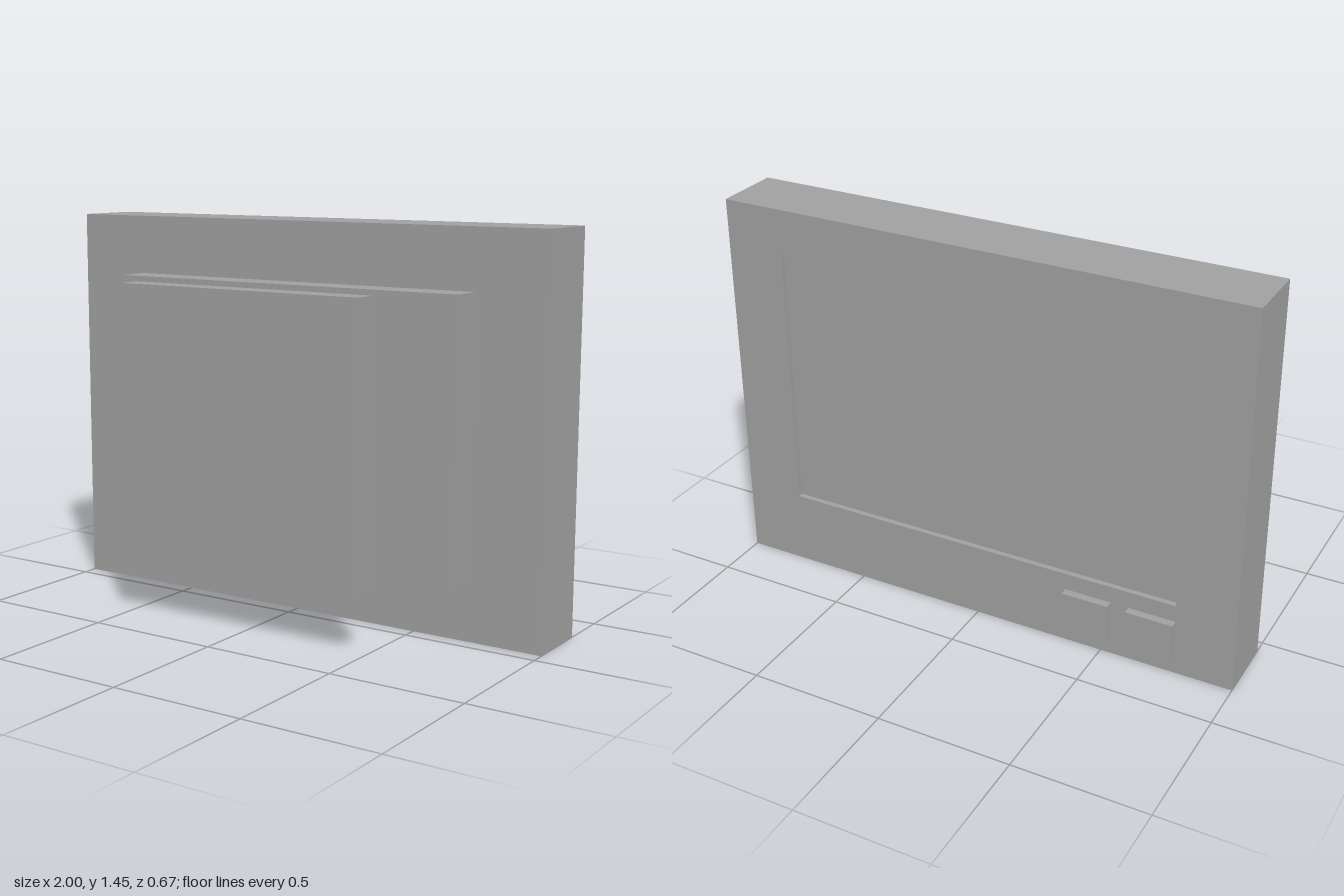
import * as THREE from 'three';

export function createModel() {
  const model = new THREE.Group();
  model.name = 'wallMonitor';
  const grey = new THREE.MeshStandardMaterial({ color: 0xa0a0a0 });
  grey.name = 'grey';

  // Box given by its lower and upper limits on each axis
  const addBox = (name, [x0, x1], [y0, y1], [z0, z1]) => {
    const mesh = new THREE.Mesh(new THREE.BoxGeometry(x1 - x0, y1 - y0, z1 - z0), grey);
    mesh.position.set((x0 + x1) / 2, (y0 + y1) / 2, (z0 + z1) / 2);
    mesh.name = name;
    model.add(mesh);
  };

  const rectangle = (target, x0, x1, y0, y1) =>
    target.moveTo(x0, y0).lineTo(x1, y0).lineTo(x1, y1).lineTo(x0, y1).closePath();

  // Housing; its rear face is the sunken screen
  const height = 1.445, screenZ = -0.287, faceZ = -0.307;
  addBox('housing', [-1, 1], [0, height], [screenZ, -0.055]);

  // Bezel around the screen
  const outline = rectangle(new THREE.Shape(), -1, 1, 0, height);
  outline.holes.push(rectangle(new THREE.Path(), -0.778, 0.778, 0.28, 1.28));
  const bezel = new THREE.Mesh(
    new THREE.ExtrudeGeometry(outline, { depth: screenZ - faceZ, bevelEnabled: false }), grey);
  bezel.position.z = faceZ;
  bezel.name = 'bezel';
  model.add(bezel);

  // Two buttons below the screen
  for (const x of [-0.78, -0.535]) {
    addBox('button', [x, x + 0.178], [0.07, 0.215], [-0.337, faceZ]);
  }

  // Mount: rear cover, neck and wall plate
  addBox('rearCover', [-0.72, 0.72], [0.225, 1.225], [-0.055, 0.06]);
  addBox('neck', [-0.164, 0.164], [0.48, 0.97], [0.06, 0.25]);
  addBox('wallPlate', [-0.5, 0.5], [0.225, 1.225], [0.25, 0.337]);

  return model;
}
